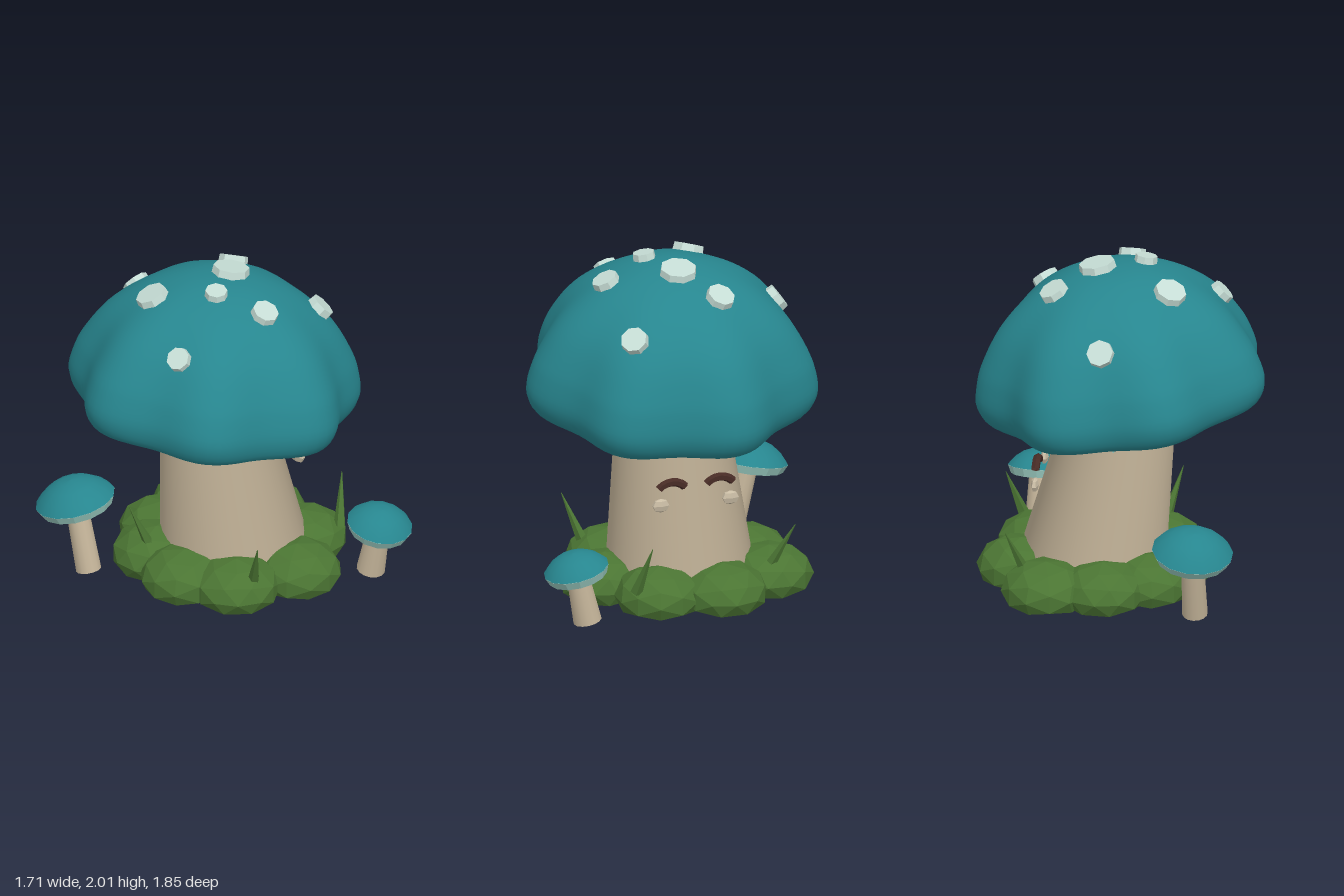
import * as THREE from 'three';
import { mergeVertices } from 'three/addons/utils/BufferGeometryUtils.js';

const mat = (name, color, extra = {}) => {
  const m = new THREE.MeshStandardMaterial({ color, ...extra });
  m.name = name;
  return m;
};
const V = (x, y, z) => new THREE.Vector3(x, y, z);
const UP = V(0, 1, 0);

export function createModel() {
  const teal = mat('teal cap', 0x27868f);
  const pale = mat('pale spots', 0xc6ddd5, { flatShading: true });
  const mint = mat('mint gills', 0x98c8be, { flatShading: true });
  const cream = mat('cream stem', 0xc5b59a);
  const creamFlat = mat('cream eyes', 0xc9bca4, { flatShading: true });
  const green = mat('leaf green', 0x4b7533, { flatShading: true });
  const brown = mat('dark brown', 0x472b25, { flatShading: true, side: THREE.DoubleSide });

  const model = new THREE.Group();
  const add = (parent, name, geo, material) => {
    const m = new THREE.Mesh(geo, material);
    m.name = name;
    parent.add(m);
    return m;
  };
  // Tapered round bar between two points
  const bar = (parent, name, a, b, ra, rb, sides, material) => {
    const d = b.clone().sub(a);
    const m = add(parent, name, new THREE.CylinderGeometry(rb, ra, d.length(), sides), material);
    m.position.copy(a).add(b).multiplyScalar(0.5);
    m.quaternion.setFromUnitVectors(UP, d.normalize());
    return m;
  };

  // Leaning, tapering stem
  const stemGeo = new THREE.CylinderGeometry(1, 1, 1.14, 32, 8);
  stemGeo.translate(0, 0.574, 0);
  const sp = stemGeo.attributes.position;
  for (let i = 0; i < sp.count; i++) {
    const y = sp.getY(i), r = 0.45 - 0.12 * y;
    sp.setXYZ(i, 0.2 - 0.18 * y + sp.getX(i) * r, y, -0.04 + sp.getZ(i) * r);
  }
  add(model, 'stem', stemGeo, cream);

  // Tilted cap with seven soft lobes
  const cap = new THREE.Group();
  cap.name = 'cap';
  cap.position.set(-0.03, 1.02, -0.04);
  cap.rotation.z = -0.13;
  model.add(cap);
  const under = [[0, 0], [0.3, 0], [0.52, 0.01], [0.7, 0.04], [0.79, 0.09]];
  const over = [[0.83, 0.2], [0.81, 0.33], [0.77, 0.44], [0.68, 0.6], [0.56, 0.73], [0.4, 0.84], [0.2, 0.915], [0, 0.935]];
  const profile = new THREE.SplineCurve([...under, ...over].map(p => new THREE.Vector2(...p))).getPoints(40);
  profile.forEach(p => { p.x = Math.max(p.x, 0); });
  profile[0].x = profile[40].x = 0;
  const lobe = (x, z) => {
    const f = Math.min(1, Math.hypot(x, z) / 0.83);
    return 1 + 0.055 * f * f * Math.cos(7 * (Math.atan2(z, x) - Math.PI / 2));
  };
  let capGeo = new THREE.LatheGeometry(profile, 84);
  capGeo.deleteAttribute('uv');
  capGeo.deleteAttribute('normal');
  capGeo = mergeVertices(capGeo, 1e-5);
  const cp = capGeo.attributes.position;
  for (let i = 0; i < cp.count; i++) {
    const x = cp.getX(i), z = cp.getZ(i), k = lobe(x, z);
    cp.setXYZ(i, x * k, cp.getY(i), z * k);
  }
  capGeo.computeVertexNormals();
  add(cap, 'capDome', capGeo, teal);

  // Gill disc and thin radial gills beneath the cap
  add(cap, 'gillDisc', new THREE.CylinderGeometry(0.5, 0.5, 0.03, 32), mint).position.y = 0.003;
  for (let i = 0; i < 28; i++) {
    const pivot = new THREE.Group();
    pivot.name = 'gill';
    pivot.rotation.y = i / 28 * Math.PI * 2;
    cap.add(pivot);
    const g = add(pivot, 'gillBlade', new THREE.BoxGeometry(0.16, 0.03, 0.006), mint);
    g.position.set(0.55, 0.019, 0);
    g.rotation.z = 0.1;
  }

  // Height of the cap's upper surface, used to seat the spots
  const height = (x, z) => {
    const rho = Math.hypot(x, z) / lobe(x, z);
    for (let i = 40; i > 0; i--) {
      const a = profile[i], b = profile[i - 1];
      if (rho <= b.x) return a.y + (b.y - a.y) * (rho - a.x) / (b.x - a.x);
    }
    return 0.2;
  };
  cap.updateMatrix();
  const toCap = cap.matrix.clone().invert();
  const spots = [
    [0.15, 1.95, -0.04, 0.115], [-0.3, 1.91, -0.25, 0.1], [0.38, 1.86, -0.22, 0.09], [-0.12, 1.94, 0.08, 0.07],
    [-0.54, 1.78, 0.17, 0.075], [0, 1.89, 0.35, 0.085], [0.5, 1.68, 0.34, 0.085], [0.05, 1.69, -0.67, 0.085],
  ];
  for (const [x, y, z, r] of spots) {
    const p = V(x, y, z).applyMatrix4(toCap), e = 0.03;
    const n = V((height(p.x - e, p.z) - height(p.x + e, p.z)) / (2 * e), 1,
      (height(p.x, p.z - e) - height(p.x, p.z + e)) / (2 * e)).normalize();
    p.y = height(p.x, p.z);
    const s = add(cap, 'spot', new THREE.CylinderGeometry(r * 0.93, r, 0.07, 8), pale);
    s.position.copy(p).addScaledVector(n, 0.004);
    s.quaternion.setFromUnitVectors(UP, n);
  }

  // Face on the +x side: eyes and arched brows
  for (const [eyeZ, browZ] of [[0.18, 0.11], [-0.25, -0.185]]) {
    const eye = add(model, 'eye', new THREE.SphereGeometry(1, 6, 4), creamFlat);
    eye.scale.set(0.024, 0.043, 0.057);
    eye.position.set(0.492, 0.625, eyeZ);
    const arc = 1.64;
    const browGeo = new THREE.TorusGeometry(0.109, 0.026, 6, 6, arc);
    browGeo.rotateZ((Math.PI - arc) / 2);
    browGeo.rotateY(Math.PI / 2);
    add(model, 'brow', browGeo, brown).position.set(0.487, 0.653, browZ);
  }

  // Ring of low bushes, flattened on the ground
  const bushes = [[-18, 0.45], [33, 0.43], [85, 0.47], [136, 0.45], [178, 0.44], [220, 0.45], [258, 0.46], [296, 0.54]];
  bushes.forEach(([deg, ring], i) => {
    const a = deg * Math.PI / 180;
    const geo = new THREE.IcosahedronGeometry(1, 1);
    geo.rotateY(i * 1.3);
    geo.scale(0.265, 0.175, 0.265);
    geo.translate(0, 0.08, 0);
    const p = geo.attributes.position;
    for (let j = 0; j < p.count; j++) p.setY(j, Math.max(0, p.getY(j)));
    geo.computeVertexNormals();
    add(model, 'bush', geo, green).position.set(0.155 + ring * Math.cos(a), 0, -0.035 + ring * Math.sin(a));
  });

  // Grass blades: base x, z then tip x, z
  for (const [bx, bz, tx, tz] of [[-0.19, 0.43, -0.28, 0.54], [-0.29, -0.27, -0.39, -0.36], [0.52, -0.47, 0.62, -0.61], [0.64, 0.38, 0.74, 0.31]]) {
    bar(model, 'grassBlade', V(bx, 0.16, bz), V(tx, 0.46, tz), 0.038, 0.002, 5, green);
  }

  // Two small side mushrooms
  const smallMushroom = (base, rim, lean, r, h, stemR) => {
    const g = new THREE.Group();
    g.name = 'smallMushroom';
    model.add(g);
    bar(g, 'smallStem', base, rim.clone().addScaledVector(lean, -0.02), stemR, 0.066, 14, cream);
    const top = new THREE.Group();
    top.name = 'smallCap';
    top.position.copy(rim);
    top.quaternion.setFromUnitVectors(UP, lean);
    g.add(top);
    const dome = [[1, 0], [0.82, 0.4], [0.56, 0.75], [0.28, 0.95], [0, 1]].map(([x, y]) => new THREE.Vector2(x * r, y * h));
    add(top, 'smallDome', new THREE.LatheGeometry(dome, 14), teal);
    add(top, 'smallGills', new THREE.CylinderGeometry(r, r * 0.9, 0.05, 14), mint).position.y = -0.026;
  };
  smallMushroom(V(-0.5, 0, -0.58), V(-0.5, 0.44, -0.685), V(-0.12, 1, -0.2).normalize(), 0.24, 0.125, 0.075);
  smallMushroom(V(0.59, 0, 0.665), V(0.59, 0.335, 0.735), V(0, 1, 0.23).normalize(), 0.195, 0.1, 0.085);

  return model;
}
